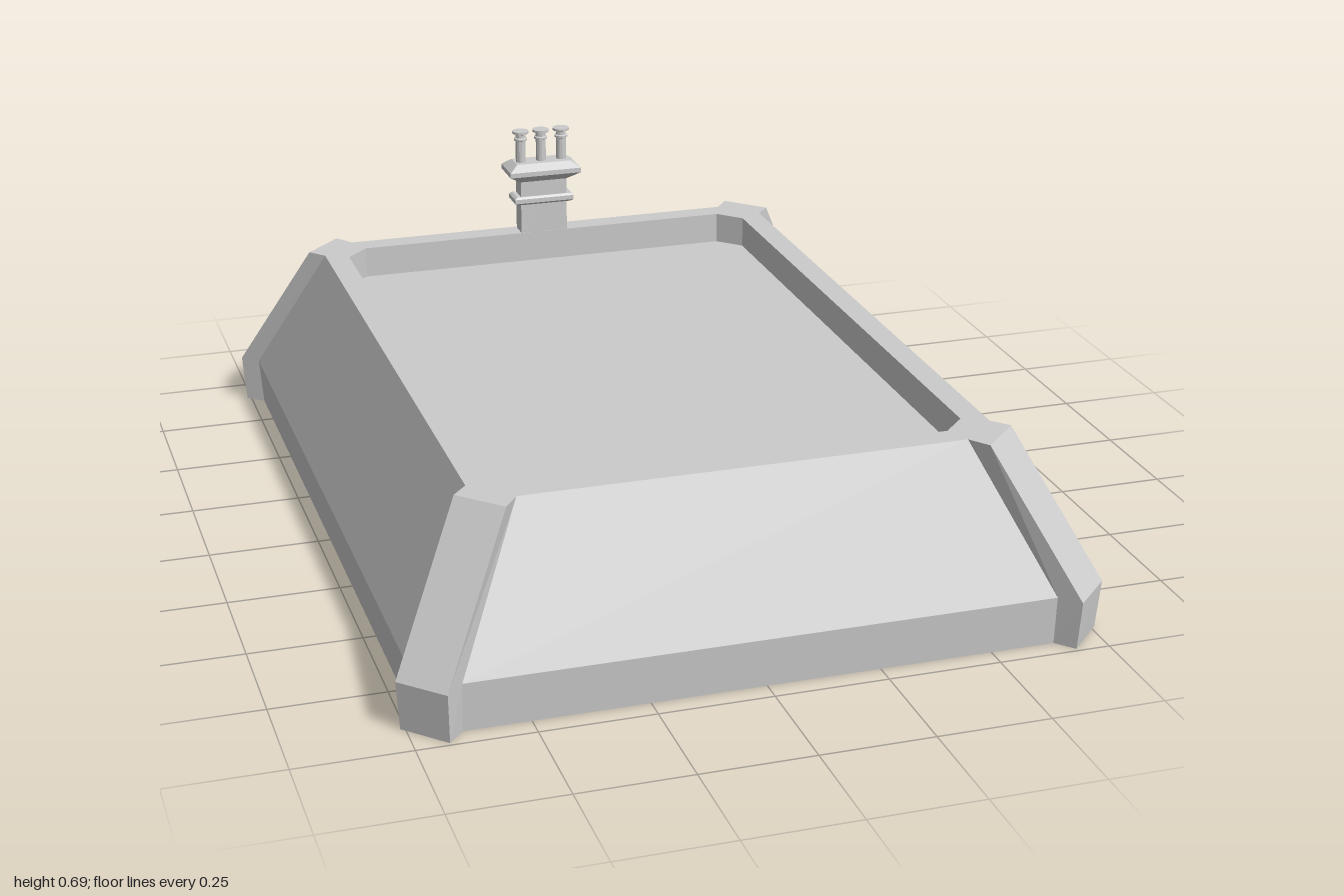
import * as THREE from 'three';

const material = new THREE.MeshStandardMaterial({ color: 0xcccccc, flatShading: true, side: THREE.DoubleSide });

// Closed solid through rings of [x, y, z] points, each counterclockwise seen from above
function loft(rings) {
  const pos = [];
  const tri = (a, b, c) => pos.push(...a, ...b, ...c);
  const n = rings[0].length;
  const centre = (ring) => [0, 1, 2].map((k) => ring.reduce((s, p) => s + p[k], 0) / n);
  const first = rings[0], last = rings[rings.length - 1];
  const c0 = centre(first), c1 = centre(last);
  for (let i = 0; i < n; i++) {
    const j = (i + 1) % n;
    for (let r = 0; r + 1 < rings.length; r++) {
      const a = rings[r], b = rings[r + 1];
      tri(a[i], a[j], b[j]);
      tri(a[i], b[j], b[i]);
    }
    tri(c0, first[j], first[i]);
    tri(c1, last[i], last[j]);
  }
  const geometry = new THREE.BufferGeometry();
  geometry.setAttribute('position', new THREE.Float32BufferAttribute(pos, 3));
  geometry.computeVertexNormals();
  return geometry;
}

// Rectangle with cut corners: half width w, half depth d, cut back to wi and di
const octagon = ([y, w, di, wi, d]) => [
  [w, y, di], [w, y, -di], [wi, y, -d], [-wi, y, -d],
  [-w, y, -di], [-w, y, di], [-wi, y, d], [wi, y, d],
];

const rectangle = ([y, w, d]) => [[w, y, d], [w, y, -d], [-w, y, -d], [-w, y, d]];

function addMesh(parent, name, geometry) {
  const mesh = new THREE.Mesh(geometry, material);
  mesh.name = name;
  parent.add(mesh);
  return mesh;
}

export function createModel() {
  const model = new THREE.Group();
  model.name = 'roof';

  // Sloping walls, flat rim and sunken deck
  const outer = [
    [0, 0.722, 0.875, 0.643, 0.953],
    [0.11, 0.73, 0.88, 0.643, 0.96],
    [0.43, 0.573, 0.73, 0.488, 0.81],
  ];
  const well = [
    [0.43, 0.518, 0.702, 0.465, 0.755],
    [0.355, 0.518, 0.702, 0.465, 0.755],
  ];
  addMesh(model, 'roofBody', loft([...outer, ...well].map(octagon)));

  // Diagonal corner ribs: outer edge points at the same three heights
  const ribOuter = [
    [0.76, 0.908, 0.678, 0.992],
    [0.768, 0.914, 0.682, 1.0],
    [0.606, 0.767, 0.52, 0.853],
  ];
  for (const sx of [1, -1]) {
    for (const sz of [1, -1]) {
      const rings = outer.map(([y, w, di, wi, d], i) => {
        const [ax, az, bx, bz] = ribOuter[i];
        const ring = [[w, di], [ax, az], [bx, bz], [wi, d]].map(([x, z]) => [sx * x, y, sz * z]);
        return sx * sz > 0 ? ring.reverse() : ring;
      });
      const name = (sz > 0 ? 'front' : 'back') + (sx > 0 ? 'Left' : 'Right') + 'CornerRib';
      addMesh(model, name, loft(rings));
    }
  }

  // Chimney on the back rim
  const chimney = new THREE.Group();
  chimney.name = 'chimney';
  chimney.position.z = -0.78;
  model.add(chimney);
  addMesh(chimney, 'chimneyStack', loft([
    [0.425, 0.06, 0.024], [0.57, 0.06, 0.024],
  ].map(rectangle)));
  addMesh(chimney, 'chimneyBand', loft([
    [0.505, 0.07, 0.026], [0.51, 0.077, 0.031], [0.521, 0.077, 0.031], [0.526, 0.07, 0.026],
  ].map(rectangle)));
  addMesh(chimney, 'chimneyCap', loft([
    [0.565, 0.06, 0.024], [0.585, 0.092, 0.047], [0.597, 0.092, 0.047], [0.613, 0.07, 0.028],
  ].map(rectangle)));

  // Three flue pots with a collar and a flared lip
  const profile = [
    [0.013, 0.61], [0.013, 0.668], [0.017, 0.67], [0.017, 0.675], [0.013, 0.677],
    [0.013, 0.685], [0.021, 0.688], [0.021, 0.694], [0, 0.694],
  ].map(([r, y]) => new THREE.Vector2(r, y));
  for (const i of [-1, 0, 1]) {
    addMesh(chimney, 'fluePot', new THREE.LatheGeometry(profile, 12)).position.x = i * 0.053;
  }

  return model;
}
